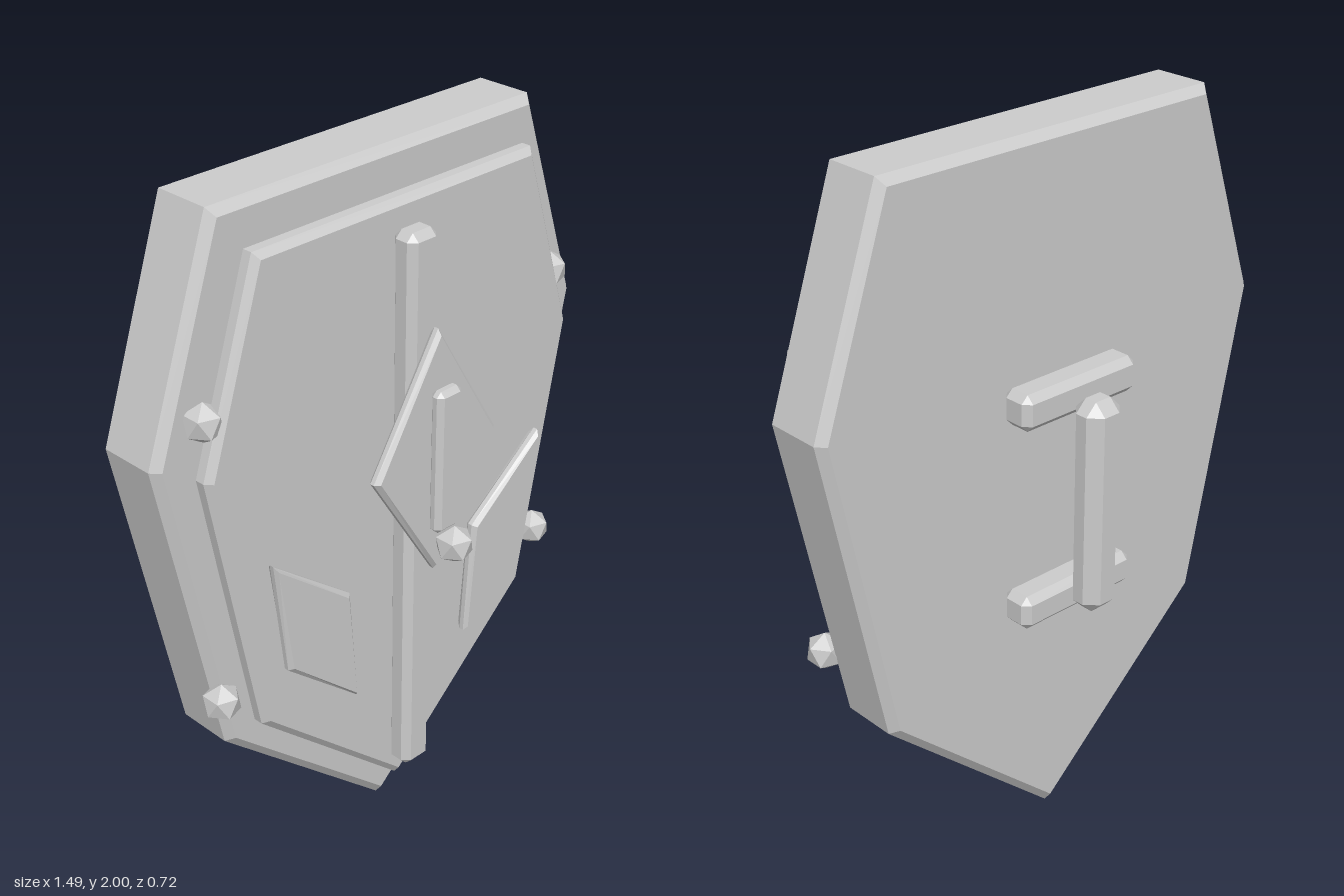
import * as THREE from 'three';
import { ConvexGeometry } from 'three/addons/geometries/ConvexGeometry.js';

const material = new THREE.MeshStandardMaterial({ color: 0xcccccc, flatShading: true });

// Box from min to max corners with every edge chamfered by b
function chamferBox([x0, y0, z0], [x1, y1, z1], b) {
  const w = (x1 - x0) / 2, h = (y1 - y0) / 2, d = (z1 - z0) / 2;
  const points = [];
  for (const sx of [-1, 1]) for (const sy of [-1, 1]) for (const sz of [-1, 1]) {
    points.push(
      new THREE.Vector3(sx * w, sy * (h - b), sz * (d - b)),
      new THREE.Vector3(sx * (w - b), sy * h, sz * (d - b)),
      new THREE.Vector3(sx * (w - b), sy * (h - b), sz * d));
  }
  return new ConvexGeometry(points).translate((x0 + x1) / 2, (y0 + y1) / 2, (z0 + z1) / 2);
}

// Bevelled plate whose outer outline is given, between depths z0 and z1
function plate(outline, z0, z1, bevel) {
  const shape = new THREE.Shape(outline.map(([x, y]) => new THREE.Vector2(x, y)));
  return new THREE.ExtrudeGeometry(shape, {
    depth: z1 - z0 - 2 * bevel, bevelEnabled: true, bevelSegments: 1,
    bevelThickness: bevel, bevelSize: bevel, bevelOffset: -bevel,
  }).translate(0, 0, z0 + bevel);
}

// Full outline from its right half, ordered from bottom tip to top corner
function mirrored(half) {
  const left = half.slice(1).reverse().map(([x, y]) => [-x, y]);
  return [...half, ...left];
}

// Faceted stud with a vertex pointing straight up
function stud(x, y, z) {
  return new THREE.IcosahedronGeometry(0.054, 0)
    .rotateZ(-Math.atan(2 / (1 + Math.sqrt(5)))).translate(x, y, z);
}

export function createModel() {
  const model = new THREE.Group();
  model.name = 'shield';
  const add = (name, geometry) => {
    const mesh = new THREE.Mesh(geometry, material);
    mesh.name = name;
    model.add(mesh);
  };

  // Layered shield body
  add('body', plate(mirrored([[0, 0], [0.56, 0.505], [0.745, 1.4], [0.54, 2]]), -0.157, 0.049, 0.023));
  add('facePlate', plate(mirrored([[0, 0.12], [0.495, 0.57], [0.645, 1.36], [0.473, 1.895]]), 0.057, 0.12, 0.018));

  // Central ridge, diamond emblem and its trim
  add('ridge', chamferBox([-0.05, 0.213, 0.12], [0.05, 1.83, 0.197], 0.02));
  add('diamond', plate([[0, 0.89], [0.22, 1.235], [0, 1.59], [-0.22, 1.235]], 0.214, 0.25, 0.012));
  add('emblemBar', chamferBox([-0.042, 1.03, 0.25], [0.042, 1.44, 0.292], 0.014));
  add('emblemStud', stud(0, 1.0, 0.311));

  // Side panels and rim rivets, mirrored
  const panel = [[0.21, 0.545], [0.45, 0.75], [0.49, 1.085], [0.232, 0.885]];
  for (const [side, s] of [['left', 1], ['right', -1]]) {
    add(side + 'Panel', plate(panel.map(([x, y]) => [s * x, y]), 0.137, 0.174, 0.012));
    add(side + 'UpperRivet', stud(s * 0.61, 1.5, 0.07));
    add(side + 'LowerRivet', stud(s * 0.597, 0.68, 0.07));
  }

  // Hand grip behind, held by two cross straps
  add('upperStrap', chamferBox([-0.195, 1.285, -0.262], [0.195, 1.385, -0.167], 0.02));
  add('lowerStrap', chamferBox([-0.195, 0.71, -0.262], [0.195, 0.807, -0.167], 0.02));
  add('grip', chamferBox([-0.058, 0.74, -0.362], [0.058, 1.347, -0.26], 0.033));

  return model;
}
